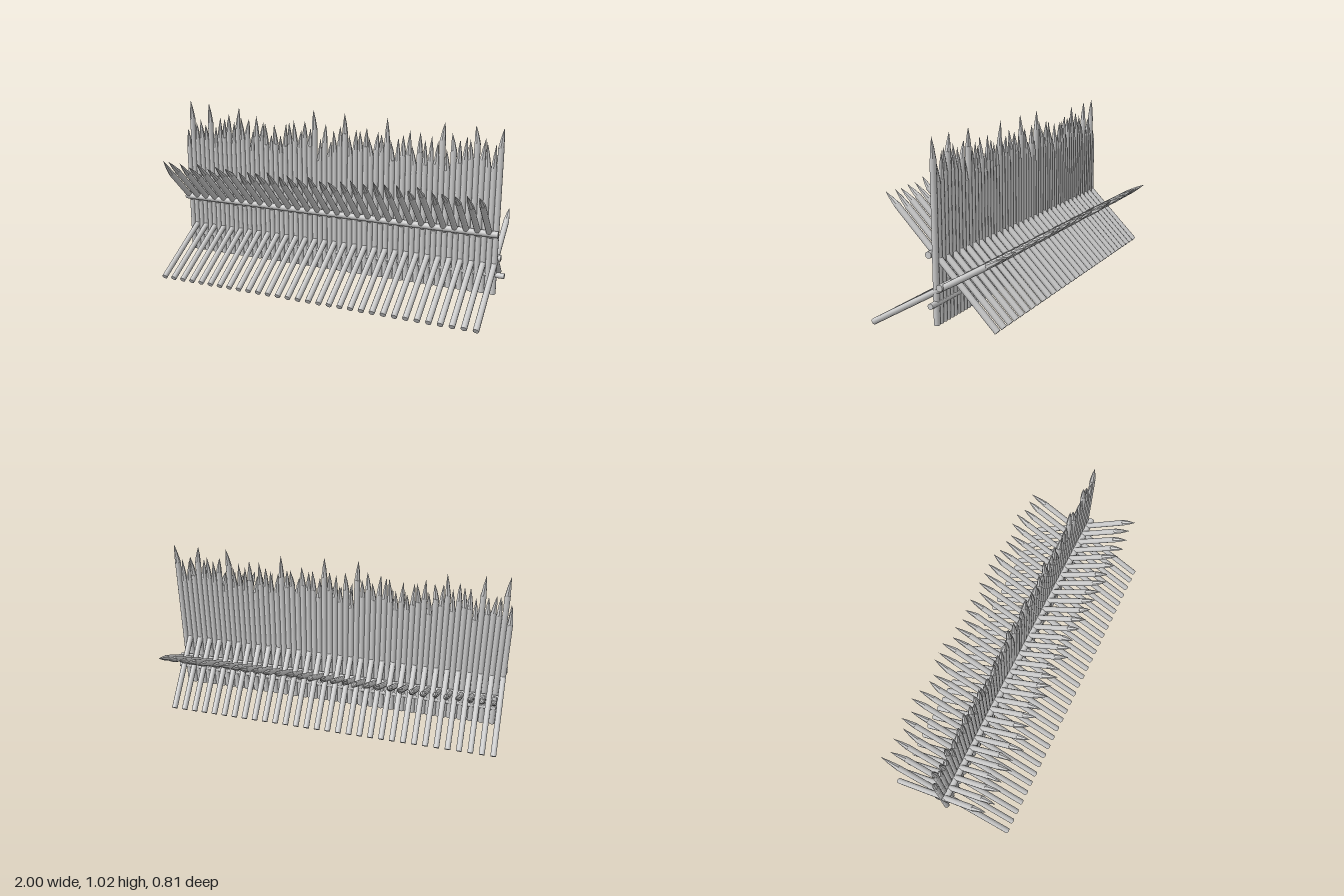
import * as THREE from 'three';

const wood = new THREE.MeshStandardMaterial({ color: 0xcccccc });
const carved = new THREE.MeshStandardMaterial({ color: 0xcccccc, flatShading: true });
const R = 0.0165, SIDES = 10;

// Small seeded generator for the hand-cut variation
let seed = 11;
function rnd() {
  seed = (seed * 16807) % 2147483647;
  return seed / 2147483647;
}

// Pointed stake standing on its own origin: round shaft plus a carved, off-centre tip
function makeStake(name, shaftLength, tipLength) {
  const stake = new THREE.Group();
  stake.name = name;
  const shaft = new THREE.Mesh(new THREE.CylinderGeometry(R, R, shaftLength, SIDES), wood);
  shaft.name = 'shaft';
  shaft.position.y = shaftLength / 2;

  const geo = new THREE.ConeGeometry(R, tipLength, 6, 2);
  const angle = rnd() * Math.PI * 2, lean = R * (0.2 + 0.65 * rnd());
  const p = geo.attributes.position;
  for (let i = 0; i < p.count; i++) {
    const t = p.getY(i) / tipLength + 0.5;
    const bulge = t > 0.4 && t < 0.6 ? 1.25 : 1;
    p.setX(i, p.getX(i) * bulge + Math.cos(angle) * lean * t);
    p.setZ(i, p.getZ(i) * bulge + Math.sin(angle) * lean * t);
  }
  geo.computeVertexNormals();
  const tip = new THREE.Mesh(geo, carved);
  tip.name = 'tip';
  tip.position.y = shaftLength + tipLength / 2;
  stake.add(shaft, tip);
  return stake;
}

// Horizontal rail between two x positions
function makeRail(name, x0, x1, y, z, r) {
  const rail = new THREE.Mesh(new THREE.CylinderGeometry(r, r, x1 - x0, SIDES), wood);
  rail.name = name;
  rail.rotation.z = Math.PI / 2;
  rail.position.set((x0 + x1) / 2, y, z);
  return rail;
}

export function createModel() {
  const model = new THREE.Group();
  model.name = 'palisade';
  const pitch = 0.063, perRow = 31;

  // Closed wall of upright stakes, two per pitch, with some taller ones
  const wall = new THREE.Group();
  wall.name = 'uprightStakes';
  const tall = [0, 2, 5, 13, 16, 20, 25, 28, 30];
  for (let i = 0; i < perRow * 2; i++) {
    const k = (i - 1) / 2;
    const top = tall.includes(k) ? 1.0 + 0.025 * rnd()
      : i % 2 ? 0.9 + 0.06 * rnd() : 0.85 + 0.09 * rnd();
    const tip = 0.09 + 0.05 * rnd();
    const stake = makeStake('uprightStake', top - tip - 0.07, tip);
    stake.position.set(-0.98 + i * pitch / 2, 0.07, 0.005);
    wall.add(stake);
  }
  model.add(wall);

  // Leaning rows: low ones point backward, steep ones point forward
  const rows = [
    { name: 'backwardStake', x: -0.948, y: 0.018, z: 0.395, tilt: -Math.PI / 3, length: 0.91 },
    { name: 'forwardStake', x: -0.98, y: 0.079, z: -0.317, tilt: Math.PI / 4, length: 0.9 },
  ];
  for (const r of rows) {
    const row = new THREE.Group();
    row.name = r.name + 'Row';
    for (let i = 0; i < perRow; i++) {
      const tip = 0.07 + 0.05 * rnd();
      const total = r.length - 0.035 + 0.045 * rnd();
      const stake = makeStake(r.name, total - tip, tip);
      stake.position.set(r.x + i * pitch, r.y, r.z);
      stake.rotation.x = r.tilt;
      row.add(stake);
    }
    model.add(row);
  }

  // Rails tying each row together
  model.add(
    makeRail('forwardRail', -1, 0.96, 0.425, 0.035, 0.018),
    makeRail('backwardRail', -0.99, 0.97, 0.27, -0.03, 0.018),
    makeRail('wallRail', -0.96, 1, 0.182, 0.003, 0.0155),
  );
  return model;
}
